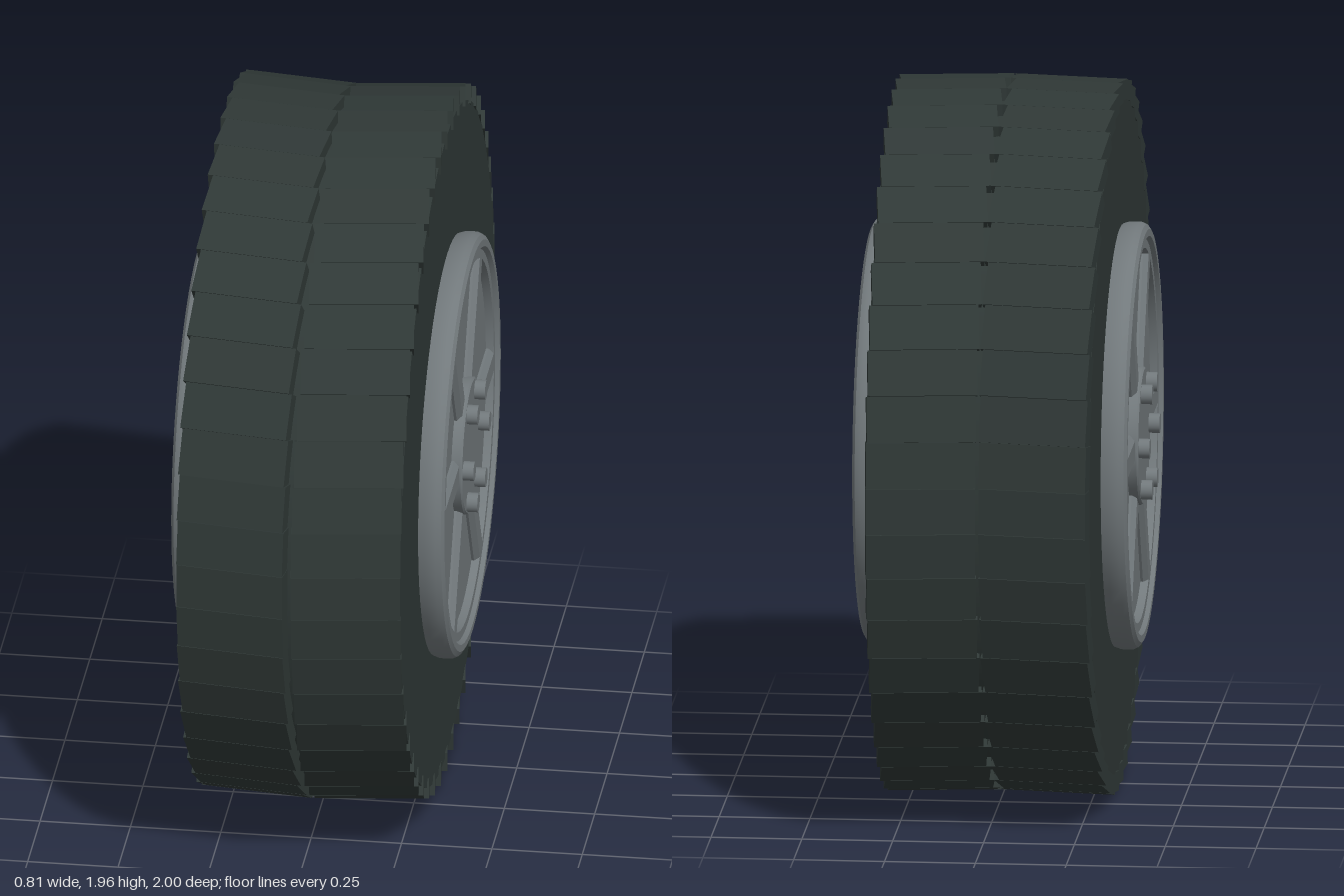
import * as THREE from 'three';
import { mergeGeometries, toCreasedNormals } from 'three/addons/utils/BufferGeometryUtils.js';

const rubber = new THREE.MeshStandardMaterial({ color: 0x2f3836 });
rubber.name = 'dark rubber';
const metal = new THREE.MeshStandardMaterial({ color: 0x72797c });
metal.name = 'grey metal';

const CENTER_Y = 0.98;
const TREAD_RADIUS = 0.98;
const BLOCKS = 48;
const SKEW = 0.13;
const SPOKES = 6;

function part(name, geometry, material) {
  const mesh = new THREE.Mesh(geometry, material);
  mesh.name = name;
  return mesh;
}

// Revolved profile of [radius, height] pairs, with crisp corners
function lathe(profile, segments) {
  const points = profile.map(([r, h]) => new THREE.Vector2(r, h));
  return toCreasedNormals(new THREE.LatheGeometry(points, segments), 0.5);
}

// Ring of skewed tread blocks on one half of the tyre
function treadHalf(side) {
  const depth = 0.055;
  const blocks = [];
  for (let i = 0; i < BLOCKS; i++) {
    const angle = (i / BLOCKS) * Math.PI * 2;
    const r = TREAD_RADIUS - depth / 2;
    const block = new THREE.BoxGeometry(0.3, depth, 0.127);
    block.rotateX(angle);
    block.rotateY(side * SKEW);
    block.translate(side * 0.157, r * Math.cos(angle), r * Math.sin(angle));
    blocks.push(block);
  }
  return mergeGeometries(blocks);
}

// Wheel face, built with its axis along +y
function wheelFace() {
  const face = new THREE.Group();

  face.add(part('rim', lathe([
    [0.575, 0.29], [0.587, 0.325], [0.587, 0.355], [0.58, 0.37], [0.567, 0.378],
    [0.548, 0.378], [0.54, 0.366], [0.515, 0.366], [0.508, 0.34], [0.5, 0.34],
  ], 64), metal));

  const panel = new THREE.CylinderGeometry(0.52, 0.52, 0.04, 64);
  panel.translate(0, 0.325, 0);
  face.add(part('backPanel', panel, metal));

  const hub = lathe([[0.19, 0.33], [0.19, 0.37], [0.185, 0.375], [0, 0.375]], 48);
  face.add(part('hub', hub, metal));

  // Bevelled bar from the hub to the rim
  const section = new THREE.Shape([
    new THREE.Vector2(-0.043, 0.335), new THREE.Vector2(0.043, 0.335),
    new THREE.Vector2(0.043, 0.352), new THREE.Vector2(0.027, 0.366),
    new THREE.Vector2(-0.027, 0.366), new THREE.Vector2(-0.043, 0.352),
  ]);
  const spoke = new THREE.ExtrudeGeometry(section, { depth: 0.365, bevelEnabled: false });
  spoke.translate(0, 0, 0.15);
  const bolt = new THREE.CylinderGeometry(0.027, 0.027, 0.04, 20);
  bolt.translate(0, 0.385, 0.155);

  for (let i = 0; i < SPOKES; i++) {
    const angle = (i / SPOKES) * Math.PI * 2;
    const arm = part('spoke', spoke, metal);
    const nut = part('bolt', bolt, metal);
    arm.rotation.y = nut.rotation.y = angle;
    face.add(arm, nut);
  }
  return face;
}

export function createModel() {
  const wheel = new THREE.Group();
  wheel.name = 'wheel';

  // Tyre body
  const body = lathe([[0, -0.307], [0.945, -0.307], [0.945, 0.307], [0, 0.307]], 96);
  body.rotateZ(-Math.PI / 2);
  const tyre = part('tyreBody', body, rubber);
  tyre.position.y = CENTER_Y;
  wheel.add(tyre);

  for (const side of [1, -1]) {
    const label = side > 0 ? 'left' : 'right';

    const tread = part(label + 'Tread', treadHalf(side), rubber);
    tread.position.y = CENTER_Y;
    wheel.add(tread);

    const face = wheelFace();
    face.name = label + 'WheelFace';
    face.rotation.z = -side * Math.PI / 2;
    face.position.y = CENTER_Y;
    wheel.add(face);
  }
  return wheel;
}
